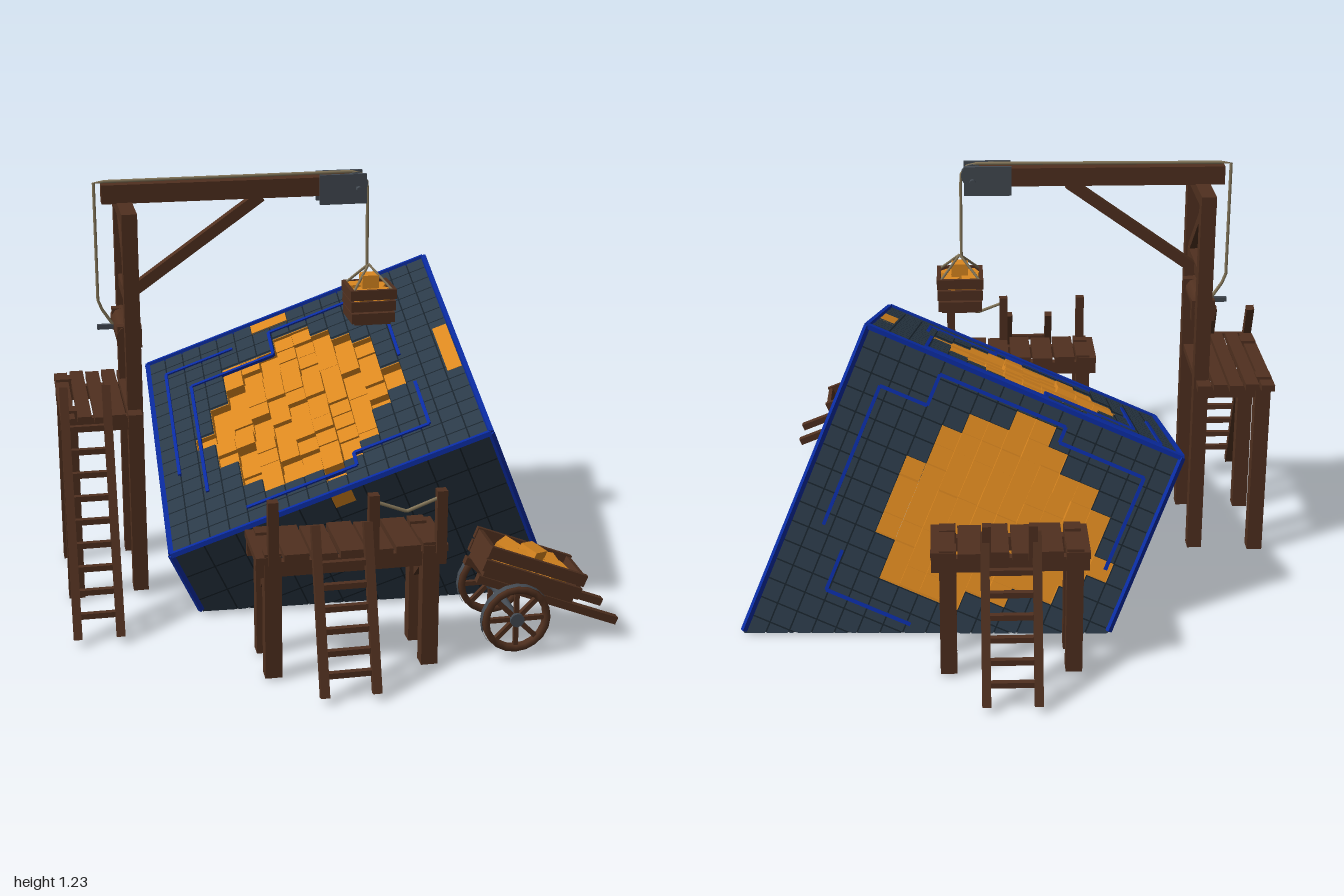
import * as THREE from 'three';
import { mergeGeometries } from 'three/addons/utils/BufferGeometryUtils.js';

const mat = (name, color, side = THREE.FrontSide) => {
  const m = new THREE.MeshStandardMaterial({ color, side });
  m.name = name;
  return m;
};
const slate = mat('slate', 0x2b3a48, THREE.DoubleSide), seam = mat('seam', 0x18232c);
const blue = mat('blue inlay', 0x0a2ca4), gold = mat('gold', 0xdc8820), wood = mat('wood', 0x50301f);
const metal = mat('metal', 0x434a52), rope = mat('rope', 0x85775a);

const V = (x, y, z) => new THREE.Vector3(x, y, z);
let seed = 7;
const rand = () => (seed = (seed * 16807) % 2147483647) / 2147483647;

function add(parent, name, geo, material, x = 0, y = 0, z = 0) {
  const m = new THREE.Mesh(geo, material);
  m.name = name;
  m.position.set(x, y, z);
  parent.add(m);
  return m;
}
const box = (p, name, material, x, y, z, w, h, d) => add(p, name, new THREE.BoxGeometry(w, h, d), material, x, y, z);

// A bar from one point to another, h thick along the up hint and d across it
function barGeo(a, b, h, d, up = V(0, 1, 0)) {
  const X = b.clone().sub(a), len = X.length();
  X.normalize();
  if (Math.abs(X.dot(up)) > 0.99) up = V(1, 0, 0);
  const Z = X.clone().cross(up).normalize(), Y = Z.clone().cross(X);
  const mid = a.clone().add(b).multiplyScalar(0.5);
  return new THREE.BoxGeometry(len, h, d).applyMatrix4(new THREE.Matrix4().makeBasis(X, Y, Z).setPosition(mid));
}
const bar = (p, name, a, b, h, d = h, material = wood) => add(p, name, barGeo(V(...a), V(...b), h, d), material);

function ropeLine(p, name, pts, r = 0.005) {
  const path = new THREE.CurvePath();
  for (let i = 1; i < pts.length; i++) path.add(new THREE.LineCurve3(V(...pts[i - 1]), V(...pts[i])));
  add(p, name, new THREE.TubeGeometry(path, pts.length * 8, r, 6), rope);
}

// ---- Tilted block, sunk into the ground and open underneath ----
const A = V(0.89, 0.36, 0.14), B = V(0.03, 0.28, -0.92), C = V(0.373, -0.85, -0.239);
const FL = V(-0.51, 0.21, 0.45), FR = FL.clone().add(A), BL = FL.clone().add(B), BR = FR.clone().add(B);

function clipGround(poly) {
  const out = [];
  poly.forEach((p, i) => {
    const q = poly[(i + 1) % poly.length];
    if (p.y >= 0) out.push(p);
    if ((p.y >= 0) !== (q.y >= 0)) out.push(p.clone().lerp(q, p.y / (p.y - q.y)));
  });
  return out;
}

function blockFace(parent, name, O, U, W, sign, n, patch, lines) {
  const g = new THREE.Group();
  g.name = name;
  parent.add(g);
  const N = U.clone().cross(W).normalize().multiplyScalar(sign);
  const at = (u, v, d = 0) => O.clone().addScaledVector(U, u).addScaledVector(W, v).addScaledVector(N, d);
  const tiles = [], seams = [], blocks = [], s = 1 / n;
  const quad = (list, u, v, gap, d) => {
    let q = [at(u + gap, v + gap, d), at(u + s - gap, v + gap, d), at(u + s - gap, v + s - gap, d), at(u + gap, v + s - gap, d)];
    if (sign < 0) q.reverse();
    q = clipGround(q);
    for (let i = 2; i < q.length; i++) for (const p of [q[0], q[i - 1], q[i]]) list.push(p.x, p.y, p.z);
  };
  const X = U.clone().normalize(), Y = W.clone().normalize().multiplyScalar(sign);
  const block = (u, v, size, thick, top) => blocks.push(new THREE.BoxGeometry(size, size, thick)
    .applyMatrix4(new THREE.Matrix4().makeBasis(X, Y, N).setPosition(at(u + s / 2, v + s / 2, top - thick / 2))));
  // Rounded-diamond patch with a ragged rim
  const open = new Set(), key = (i, j) => i * 100 + j;
  for (let i = 1; patch && i < n - 1; i++) for (let j = 1; j < n - 1; j++) {
    const u = (i + 0.5) * s, v = (j + 0.5) * s;
    const reach = Math.abs((u - patch[0]) / patch[2]) ** 1.7 + Math.abs((v - patch[1]) / patch[3]) ** 1.7;
    if (at(u, v).y > 0.1 && reach < 0.84 + 0.24 * rand()) open.add(key(i, j));
  }
  for (let i = 0; i < n; i++) for (let j = 0; j < n; j++) {
    const u = i * s, v = j * s;
    if (open.has(key(i, j))) {
      block(u, v, s * 0.95, 0.08, -0.002 - 0.034 * rand());
      continue;
    }
    quad(tiles, u, v, 0.0022, 0);
    quad(seams, u, v, 0, -0.004);
    quad(tiles, u, v, 0, -0.007);
    // Blocks tucked under the rim close the edge of the patch
    if ([[1, 0], [-1, 0], [0, 1], [0, -1]].some(([a, b]) => open.has(key(i + a, j + b)))) block(u, v, s * 0.98, 0.045, -0.009);
  }
  for (const [label, list, m] of [['slateTiles', tiles, slate], ['tileSeams', seams, seam]]) {
    const geo = new THREE.BufferGeometry();
    geo.setAttribute('position', new THREE.Float32BufferAttribute(list, 3));
    geo.computeVertexNormals();
    add(g, label, geo, m);
  }
  if (blocks.length) add(g, 'goldBlocks', mergeGeometries(blocks), gold);
  const strips = [];
  for (const line of lines) for (let i = 1; i < line.length; i++)
    strips.push(barGeo(at(...line[i - 1]), at(...line[i]), 0.01, 0.01, N));
  if (strips.length) add(g, 'blueInlay', mergeGeometries(strips), blue);
}

function buildBlock(root) {
  const g = new THREE.Group();
  g.name = 'tiltedBlock';
  root.add(g);
  blockFace(g, 'topFace', FL, A, B, 1, 16, [0.478, 0.476, 0.32, 0.41], [
    [[0.14, 0.22], [0.14, 0.78], [0.43, 0.78], [0.43, 0.91], [0.82, 0.91], [0.82, 0.52]],
    [[0.06, 0.35], [0.06, 0.9], [0.3, 0.9]],
    [[0.25, 0.08], [0.6, 0.08], [0.6, 0.14], [0.84, 0.14], [0.84, 0.36]]]);
  blockFace(g, 'rightFace', FR, B, C, -1, 17, [0.455, 0.39, 0.34, 0.33], [
    [[0.1, 0.5], [0.1, 0.1], [0.3, 0.1], [0.3, 0.05], [0.72, 0.05], [0.72, 0.14], [0.9, 0.14], [0.9, 0.45]],
    [[0.08, 0.62], [0.2, 0.62]],
    [[0.3, 0.72], [0.55, 0.72], [0.55, 0.78], [0.84, 0.78], [0.84, 0.55]]]);
  blockFace(g, 'backFace', BL, A, C, 1, 16, [0.44, 0.425, 0.35, 0.33], [
    [[0.08, 0.4], [0.08, 0.1], [0.35, 0.1], [0.35, 0.05], [0.75, 0.05], [0.75, 0.15], [0.9, 0.15], [0.9, 0.6]],
    [[0.55, 0.78], [0.82, 0.78], [0.82, 0.65]]]);
  blockFace(g, 'frontFace', FL, A, C, -1, 10, null, []);
  blockFace(g, 'leftFace', FL, B, C, 1, 10, null, []);
  const edges = [[FL, FR], [FR, BR], [BR, BL], [BL, FL]];
  for (const p of [FL, FR, BR, BL]) edges.push([p, p.clone().addScaledVector(C, p.y / 0.85 - 0.008)]);
  add(g, 'blueEdges', mergeGeometries(edges.map(([p, q]) => barGeo(p, q, 0.014, 0.014))), blue);
}

// ---- Timber parts ----
function ladder(p, x, w, y0, z0, y1, z1, rungs) {
  const g = new THREE.Group();
  g.name = 'ladder';
  p.add(g);
  for (const s of [-1, 1]) bar(g, 'ladderRail', [x + s * w / 2, y0, z0], [x + s * w / 2, y1, z1], 0.024);
  for (let i = 1; i <= rungs; i++) {
    const t = i / (rungs + 1.8);
    box(g, 'ladderRung', wood, x, y0 + (y1 - y0) * t, z0 + (z1 - z0) * t, w, 0.016, 0.016);
  }
}

// Deck on legs at the given x positions; planks run along z, side by side along x
function platform(root, name, x0, x1, z0, z1, top, planks, legX, legInset) {
  const g = new THREE.Group();
  g.name = name;
  root.add(g);
  const step = (x1 - x0) / planks, zm = (z0 + z1) / 2;
  for (let i = 0; i < planks; i++)
    box(g, 'deckPlank', wood, x0 + (i + 0.5) * step, top - 0.012 + 0.004 * (i % 2), zm, step - 0.008, 0.02, z1 - z0);
  for (const z of [z0 + legInset, z1 - legInset]) {
    box(g, 'deckBeam', wood, (x0 + x1) / 2, top - 0.043, z, x1 - x0 - 0.01, 0.042, 0.025);
    for (const x of legX) box(g, 'leg', wood, x, (top + 0.006) / 2, z, 0.046, top + 0.006, 0.044);
  }
  return g;
}

function buildPlatforms(root) {
  const f = platform(root, 'frontPlatform', -0.33, 0.2, 0.64, 0.84, 0.355, 7, [-0.28, 0.15], 0.025);
  for (const x of [-0.28, -0.01, 0.175]) box(f, 'railPost', wood, x, 0.42, 0.835, 0.028, 0.18, 0.028);
  ropeLine(f, 'railRope', [[-0.01, 0.49, 0.835], [0.08, 0.455, 0.835], [0.175, 0.49, 0.835]]);
  ladder(f, -0.1, 0.14, 0.01, 0.99, 0.44, 0.85, 6);
  for (const x of [-0.28, 0.15]) bar(f, 'brace', [x, 0.2, 0.67], [x, 0.32, 0.81], 0.022);

  const b = platform(root, 'backPlatform', -0.2, 0.24, -0.81, -0.64, 0.375, 6, [-0.155, 0.19], 0.025);
  for (const x of [-0.04, 0.085]) box(b, 'railPost', wood, x, 0.41, -0.82, 0.024, 0.11, 0.024);
  ladder(b, 0.02, 0.14, 0.01, -0.99, 0.44, -0.81, 6);
  for (const x of [-0.155, 0.19]) bar(b, 'brace', [x, 0.2, -0.66], [x, 0.33, -0.78], 0.022);

  // Its inner side rests on the crane posts
  const l = platform(root, 'cranePlatform', -0.8, -0.56, -0.16, 0.28, 0.58, 5, [-0.77], 0.07);
  ladder(l, -0.725, 0.12, 0.01, 0.53, 0.67, 0.27, 9);
}

function buildCrane(root) {
  const g = new THREE.Group();
  g.name = 'crane';
  root.add(g);
  for (const z of [0.21, -0.09]) box(g, 'cranePost', wood, -0.58, 0.58, z, 0.044, 1.14, 0.044);
  box(g, 'topCrossbeam', wood, -0.58, 1.135, 0.06, 0.044, 0.036, 0.35);
  box(g, 'lowerCrossbeam', wood, -0.58, 0.89, 0.06, 0.03, 0.035, 0.27);
  bar(g, 'crossBrace', [-0.58, 0.9, 0.19], [-0.58, 1.11, -0.07], 0.026);
  box(g, 'boom', wood, -0.26, 1.178, 0.05, 0.77, 0.055, 0.05);
  bar(g, 'boomBrace', [-0.57, 0.88, 0.05], [-0.18, 1.155, 0.05], 0.032);
  // Pulley head
  for (const z of [0.018, 0.082]) box(g, 'pulleyPlate', metal, 0.06, 1.17, z, 0.14, 0.088, 0.012);
  add(g, 'pulleyWheel', new THREE.CylinderGeometry(0.034, 0.034, 0.02, 16).rotateX(Math.PI / 2), metal, 0.105, 1.18, 0.05);
  add(g, 'pulleyAxle', new THREE.CylinderGeometry(0.009, 0.009, 0.11, 8).rotateX(Math.PI / 2), metal, 0.105, 1.17, 0.05);
  // Winch
  add(g, 'winchDrum', new THREE.CylinderGeometry(0.034, 0.034, 0.24, 10).rotateX(Math.PI / 2), wood, -0.59, 0.78, 0.06);
  for (const z of [-0.04, 0.16]) box(g, 'winchBlock', wood, -0.585, 0.78, z, 0.07, 0.065, 0.03);
  bar(g, 'winchHandle', [-0.6, 0.78, 0.05], [-0.67, 0.78, 0.05], 0.014, 0.014, metal);
  ropeLine(g, 'hoistRope', [[-0.62, 0.78, 0.05], [-0.665, 0.85, 0.05], [-0.665, 1.212, 0.05], [0.115, 1.215, 0.05],
    [0.14, 1.18, 0.05], [0.14, 0.93, 0.05]]);
  // Hanging crate
  const c = new THREE.Group();
  c.name = 'hangingCrate';
  c.position.set(0.145, 0.76, 0.06);
  g.add(c);
  box(c, 'crateFloor', wood, 0, 0.008, 0, 0.11, 0.014, 0.11);
  for (let i = 0; i < 3; i++) for (const s of [-1, 1]) {
    const y = 0.024 + i * 0.036, w = 0.12 + i * 0.004;
    box(c, 'crateSlat', wood, 0, y, s * w / 2, w + 0.012, 0.03, 0.012);
    box(c, 'crateSlat', wood, s * w / 2, y, 0, 0.012, 0.03, w);
  }
  for (const x of [-1, 1]) for (const z of [-1, 1])
    ropeLine(c, 'crateRope', [[0, 0.172, -0.01], [x * 0.064, 0.1, z * 0.064]], 0.004);
  [[0, 0.12, 0, 0.05], [-0.03, 0.08, 0.03, 0.05], [0.03, 0.08, 0.03, 0.05], [0.03, 0.08, -0.03, 0.05], [-0.03, 0.085, -0.03, 0.05]]
    .forEach(([x, y, z, s], i) => { box(c, 'goldLump', gold, x, y, z, s, s, s).rotation.y = i * 0.4; });
}

function buildCart(root) {
  const g = new THREE.Group();
  g.name = 'handcart';
  root.add(g);
  const body = new THREE.Group();
  body.name = 'cartBody';
  body.position.set(0.455, 0.2, 0.705);
  body.rotation.z = -0.38;
  g.add(body);
  box(body, 'cartFloor', wood, 0, -0.025, 0, 0.28, 0.016, 0.14);
  for (const s of [-1, 1]) {
    for (const y of [0, 0.04]) box(body, 'cartSide', wood, 0, y, s * 0.07, 0.3, 0.034, 0.014);
    box(body, 'cartEnd', wood, s * 0.14, 0.018, 0, 0.014, 0.07, 0.13);
    box(body, 'cartHandle', wood, 0.07, -0.045, s * 0.062, 0.44, 0.022, 0.022);
  }
  for (const [x, y, z] of [[-0.06, 0.02, -0.03], [-0.05, 0.02, 0.035], [0, 0.04, 0], [0.06, 0.02, -0.025], [0.07, 0.02, 0.035]])
    box(body, 'goldLump', gold, x, y, z, 0.06, 0.06, 0.055).rotation.set(0.2 * rand(), rand(), 0.2 * rand());
  // Axle and spoked wheels
  add(g, 'axle', new THREE.CylinderGeometry(0.012, 0.012, 0.28, 10).rotateX(Math.PI / 2), metal, 0.395, 0.112, 0.705);
  for (const z of [0.58, 0.83]) {
    const w = new THREE.Group();
    w.name = 'wheel';
    w.position.set(0.395, 0.112, z);
    g.add(w);
    const ring = [[0.078, -0.009], [0.096, -0.009], [0.096, 0.009], [0.078, 0.009], [0.078, -0.009]].map(p => new THREE.Vector2(...p));
    add(w, 'wheelRim', new THREE.LatheGeometry(ring, 20).rotateX(Math.PI / 2), wood);
    add(w, 'wheelTyre', new THREE.CylinderGeometry(0.1, 0.1, 0.02, 20, 1, true).rotateX(Math.PI / 2), metal);
    add(w, 'wheelHub', new THREE.CylinderGeometry(0.02, 0.02, 0.03, 10).rotateX(Math.PI / 2), metal);
    for (let i = 0; i < 4; i++) box(w, 'wheelSpoke', wood, 0, 0, 0, 0.165, 0.013, 0.012).rotation.z = i * Math.PI / 4;
  }
}

export function createModel() {
  const root = new THREE.Group();
  root.name = 'excavationSite';
  buildBlock(root);
  buildPlatforms(root);
  buildCrane(root);
  buildCart(root);
  return root;
}
